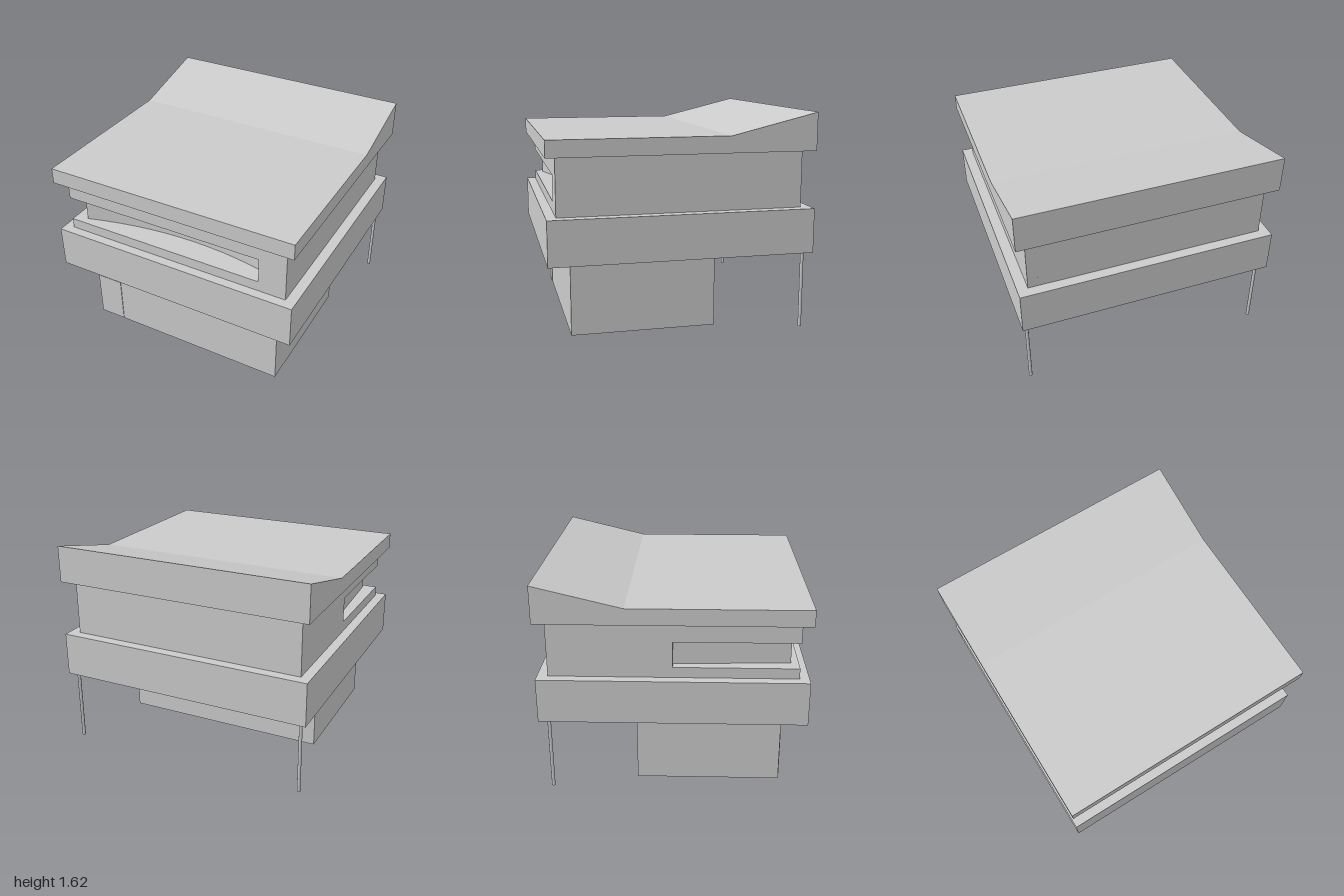
import * as THREE from 'three';

const grey = new THREE.MeshStandardMaterial({ color: 0xcccccc });

export function createModel() {
  const model = new THREE.Group();

  const add = (name, geometry, parent = model) => {
    const mesh = new THREE.Mesh(geometry, grey);
    mesh.name = name;
    parent.add(mesh);
    return mesh;
  };

  // Box given by its limits on each axis
  const box = (name, [x0, x1], [y0, y1], [z0, z1], parent) => {
    const mesh = add(name, new THREE.BoxGeometry(x1 - x0, y1 - y0, z1 - z0), parent);
    mesh.position.set((x0 + x1) / 2, (y0 + y1) / 2, (z0 + z1) / 2);
    return mesh;
  };

  // Plan outline (x, z) raised from y0 to y1
  const raise = (name, shape, y0, y1, parent) => {
    const geometry = new THREE.ExtrudeGeometry(shape, { depth: y1 - y0, bevelEnabled: false, curveSegments: 12 });
    geometry.rotateX(-Math.PI / 2).translate(0, y0, 0);
    return add(name, geometry, parent);
  };
  const rectangle = (Kind, x0, x1, z0, z1) =>
    new Kind([[x0, -z1], [x1, -z1], [x1, -z0], [x0, -z0]].map(p => new THREE.Vector2(...p)));
  const ring = (name, [x0, x1], [z0, z1], t, y0, y1, parent) => {
    const shape = rectangle(THREE.Shape, x0, x1, z0, z1);
    shape.holes.push(rectangle(THREE.Path, x0 + t, x1 - t, z0 + t, z1 - t));
    return raise(name, shape, y0, y1, parent);
  };

  // Ground floor: solid above, hollow foundation underneath
  const ground = new THREE.Group();
  ground.name = 'groundFloor';
  model.add(ground);
  box('groundFloorWalls', [-0.82, 0.82], [0.22, 0.58], [-0.275, 0.81], ground);
  ring('foundationWall', [-0.82, 0.82], [-0.275, 0.81], 0.11, 0.013, 0.22, ground);
  ring('innerFoundation', [-0.505, 0.505], [0, 0.53], 0.05, 0.013, 0.22, ground);
  for (const x of [-0.17, 0.17])
    box('foundationRib', [x - 0.05, x + 0.05], [0.013, 0.22], [0.05, 0.48], ground);
  box('door', [-0.8, -0.6], [0.02, 0.4], [0.79, 0.815], ground);

  // Wide band around the first floor
  box('floorBand', [-1, 1], [0.58, 0.915], [-0.985, 0.985]);

  // Upper storey: parapet, lintel, and a recessed wall behind the corner opening
  const upper = new THREE.Group();
  upper.name = 'upperStorey';
  model.add(upper);
  const wx = [-0.925, 0.92], wz = [-0.907, 0.913];
  box('parapet', wx, [0.915, 0.995], wz, upper);
  box('lintel', wx, [1.19, 1.343], wz, upper);
  const plan = new THREE.Shape();
  plan.moveTo(wx[0], -wz[0]);
  plan.lineTo(wx[0], 0);
  plan.lineTo(-0.86, 0);
  plan.lineTo(-0.82, -0.856);
  plan.quadraticCurveTo(-0.05, -0.62, 0.705, -0.8);
  plan.lineTo(0.705, -wz[1]);
  plan.lineTo(wx[1], -wz[1]);
  plan.lineTo(wx[1], -wz[0]);
  raise('recessedWall', plan, 0.995, 1.19, upper);

  // Roof slab, flat at the front and rising towards the back
  const profile = new THREE.Shape(
    [[-0.985, 1.343], [0.985, 1.343], [0.985, 1.625], [0.335, 1.467], [-0.985, 1.467]]
      .map(p => new THREE.Vector2(...p)));
  const roof = new THREE.ExtrudeGeometry(profile, { depth: 2, bevelEnabled: false });
  roof.translate(0, 0, -1).rotateY(Math.PI / 2);
  add('roof', roof);

  // Slim posts under the back corners
  for (const x of [-0.94, 0.957])
    add('backPost', new THREE.CylinderGeometry(0.0135, 0.0135, 0.58, 8)).position.set(x, 0.29, -0.915);

  return model;
}
